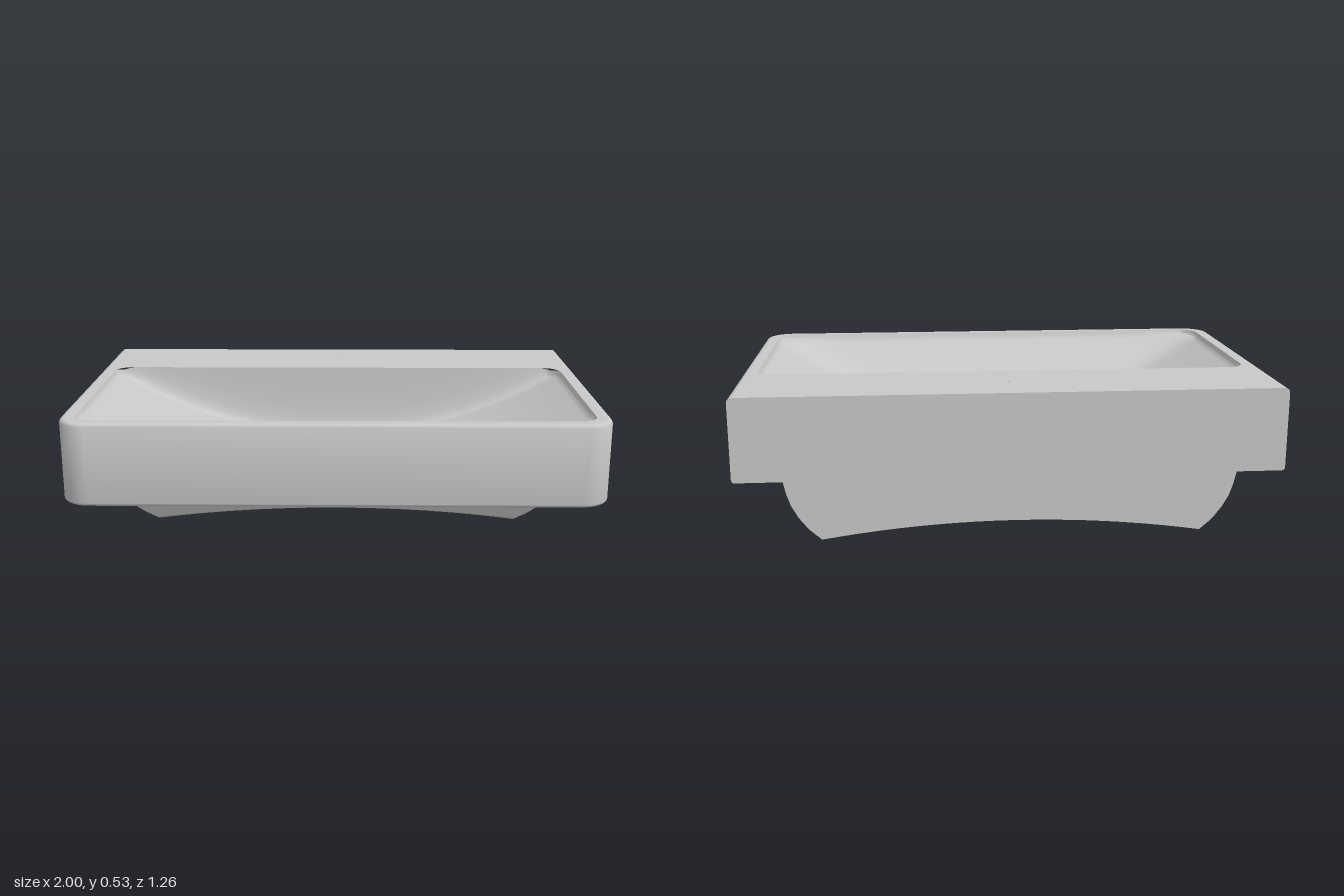
import * as THREE from 'three';
import { toCreasedNormals } from 'three/addons/utils/BufferGeometryUtils.js';

const TOP = 0.53, BASE = 0.22, BACK = -0.63, FRONT = 0.63;
const V = (x, y, z) => new THREE.Vector3(x, y, z);

// Surface through rows of points, all rows the same length
function skin(rows, crease = 0.5) {
  const n = rows[0].length, index = [];
  for (let j = 0; j < rows.length - 1; j++) {
    for (let i = 0; i < n - 1; i++) {
      const a = j * n + i, b = a + n;
      index.push(a, b, a + 1, a + 1, b, b + 1);
    }
  }
  const g = new THREE.BufferGeometry().setFromPoints(rows.flat());
  g.setIndex(index);
  return toCreasedNormals(g, crease);
}

// Slab outline: square at the back, rounded at the front
function outline(inset, y) {
  const r = 0.11, pts = [V(1 - inset, y, BACK)];
  const arc = (side, k) => {
    const t = (k / 10) * Math.PI / 2;
    return V(side * (1 - r + (r - inset) * Math.cos(t)), y, FRONT - r + (r - inset) * Math.sin(t));
  };
  for (let k = 0; k <= 10; k++) pts.push(arc(1, k));
  for (let k = 10; k >= 0; k--) pts.push(arc(-1, k));
  pts.push(V(-1 + inset, y, BACK));
  return pts;
}

// Bowl opening
const Z0 = -0.26, Z1 = 0.58, W = 0.945, R = 0.07;
function halfWidth(z) {
  const e = Math.min(z - Z0, Z1 - z);
  return e >= R ? W : W - R + Math.sqrt(Math.max(0, R * R - (R - e) ** 2));
}

// Depth below the rim: sides and front sweep down to the drain, back is steep
function depth(x, z, w) {
  const e = Math.max(0, Math.min(w - Math.abs(x), z - Z0, Z1 - z));
  const s = Math.min(1, e / 0.014);
  const lip = 0.02 * s * (2 - s);
  const sx = Math.max(0, (Math.abs(x) - 0.12) / 0.82);
  const sz = Math.max(0, (z - 0.1) / 0.475);
  const q = Math.min(1, (sx ** 10 + sz ** 10) ** 0.1);
  const back = 1 - (1 - Math.min(1, (z - Z0) / 0.07)) ** 4;
  return lip + 0.25 * (1 - q ** 1.8) * back;
}

export function createModel() {
  const ceramic = new THREE.MeshStandardMaterial({ color: 0xc8c8c8 });
  ceramic.name = 'ceramic';
  const group = new THREE.Group();
  group.name = 'washbasin';
  const add = (name, geometry) => {
    const m = new THREE.Mesh(geometry, ceramic);
    m.name = name;
    group.add(m);
    return m;
  };

  // Outer walls with rounded upper and lower edges
  const rows = [];
  const bevel = (r, y, dir) => {
    for (let k = 0; k <= 4; k++) {
      const t = (dir > 0 ? 4 - k : k) / 4 * Math.PI / 2;
      rows.push(outline(r * (1 - Math.cos(t)), y - dir * r * (1 - Math.sin(t))));
    }
  };
  bevel(0.012, BASE, -1);
  rows.splice(0, 5, ...rows.slice(0, 5).reverse());
  bevel(0.018, TOP, 1);
  rows.splice(5, 5, ...rows.slice(5).reverse());
  add('outerWalls', skin(rows, 0.6));

  // Bowl surface
  const zs = [];
  for (let k = 0; k <= 10; k++) zs.push(Z0 + R * (1 - Math.cos(k * Math.PI / 20)));
  for (let k = 1; k < 40; k++) zs.push(Z0 + R + (Z1 - Z0 - 2 * R) * k / 40);
  for (let k = 10; k >= 0; k--) zs.push(Z1 - R * (1 - Math.cos(k * Math.PI / 20)));
  const half = [0, 0.003, 0.007, 0.011, 0.015, 0.025];
  for (let k = 1; k <= 24; k++) half.push(0.025 + 0.975 * k / 24);
  const us = [...half.map(h => h - 1), ...half.slice(0, -1).reverse().map(h => 1 - h)];
  const bowl = zs.map(z => {
    const w = halfWidth(z);
    return us.map(u => V(u * w, TOP - depth(u * w, z, w), z));
  });
  add('bowl', skin(bowl, 0.7));

  // Flat top around the opening
  const top = new THREE.Shape(rows[rows.length - 1].map(p => new THREE.Vector2(p.x, -p.z)));
  const rim = [
    ...zs.map(z => new THREE.Vector2(halfWidth(z), -z)),
    ...zs.slice().reverse().map(z => new THREE.Vector2(-halfWidth(z), -z)),
  ];
  top.holes.push(new THREE.Path(rim));
  add('topDeck', new THREE.ShapeGeometry(top).rotateX(-Math.PI / 2)).position.y = TOP;

  // Flat underside and wall-side face
  const under = new THREE.Shape(rows[0].map(p => new THREE.Vector2(p.x, p.z)));
  add('underside', new THREE.ShapeGeometry(under).rotateX(Math.PI / 2)).position.y = BASE;
  const ends = rows.map(r => r[0]);
  const back = new THREE.Shape([
    ...ends.map(p => new THREE.Vector2(p.x, p.y)),
    ...ends.slice().reverse().map(p => new THREE.Vector2(-p.x, p.y)),
  ]);
  add('backFace', new THREE.ShapeGeometry(back).rotateY(Math.PI)).position.z = BACK;

  // Belly below the slab: bulging sides, arched bottom rising to the front
  const side = [[0.82, 0.22], [0.81, 0.175], [0.795, 0.13], [0.77, 0.085], [0.735, 0.04], [0.69, 0]];
  const profile = [...side];
  for (let k = 1; k < 20; k++) {
    const x = 0.69 * (1 - k / 10);
    profile.push([x, 0.055 * (1 - (x / 0.69) ** 2)]);
  }
  profile.push(...side.slice().reverse().map(([x, y]) => [-x, y]));
  const frontZ = y => 0.43 - 0.5 * (BASE - y);
  const raised = (x, y) => Math.abs(x) < 0.69 ? y + 0.065 : BASE - (BASE - y) * 0.155 / 0.22;
  const lift = y => y + 0.1 * (BASE - y);
  add('belly', skin([
    profile.map(() => V(0, BASE, BACK)),
    profile.map(([x, y]) => V(x, y, BACK)),
    profile.map(([x, y]) => V(x, raised(x, y), frontZ(raised(x, y)) - 0.02)),
    profile.map(([x, y]) => V(x * 0.998, lift(raised(x, y)), frontZ(lift(raised(x, y))))),
    profile.map(() => V(0, BASE, frontZ(BASE))),
  ], 0.45));

  // Tiny tap centre mark
  add('tapMark', new THREE.CylinderGeometry(0.003, 0.003, 0.004, 12)).position.set(0, TOP + 0.001, -0.45);

  return group;
}
